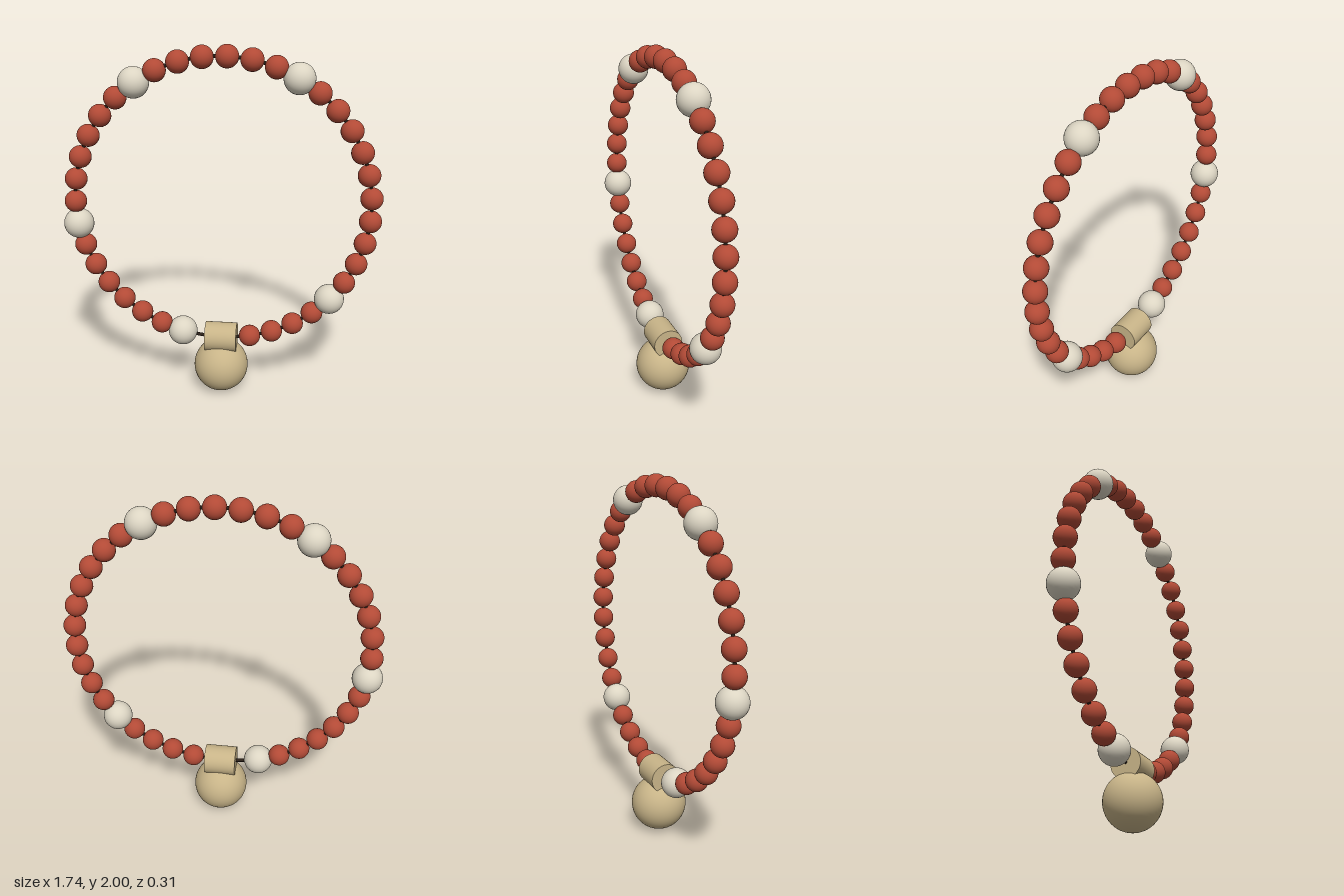
import * as THREE from 'three';

const RING_R = 0.805, RING_Y = 1.138;

export function createModel() {
  const group = new THREE.Group();
  const mat = (color) => new THREE.MeshStandardMaterial({ color });
  const red = mat(0xb24a36), ivory = mat(0xdcd5c3), tan = mat(0xc8b488), dark = mat(0x2b2018);

  const add = (name, geometry, material, x, y) => {
    const mesh = new THREE.Mesh(geometry, material);
    mesh.name = name;
    mesh.position.set(x, y, 0);
    group.add(mesh);
    return mesh;
  };

  // Cord running through every bead
  add('cord', new THREE.TorusGeometry(RING_R, 0.01, 8, 128), dark, 0, RING_Y);

  // Beads, evenly spaced from the bottom; two places are left free for the holder
  const smallBead = new THREE.SphereGeometry(0.061, 32, 20);
  const largeBead = new THREE.SphereGeometry(0.083, 32, 20);
  const accents = [4, 15, 22, 29, 36];
  for (let i = 0; i < 37; i++) {
    const a = 0.205 + (i * Math.PI * 2) / 39;
    const accent = accents.includes(i);
    add(accent ? 'accentBead' : 'bead', accent ? largeBead : smallBead, accent ? ivory : red,
      RING_R * Math.sin(a), RING_Y - RING_R * Math.cos(a));
  }

  // Barrel threaded on the cord, with the pendant ball below
  const barrel = add('barrel', new THREE.CylinderGeometry(0.084, 0.084, 0.18, 48), tan, 0, 0.334);
  barrel.rotation.z = Math.PI / 2;
  add('pendantBall', new THREE.SphereGeometry(0.155, 48, 32), tan, 0, 0.155);

  return group;
}
